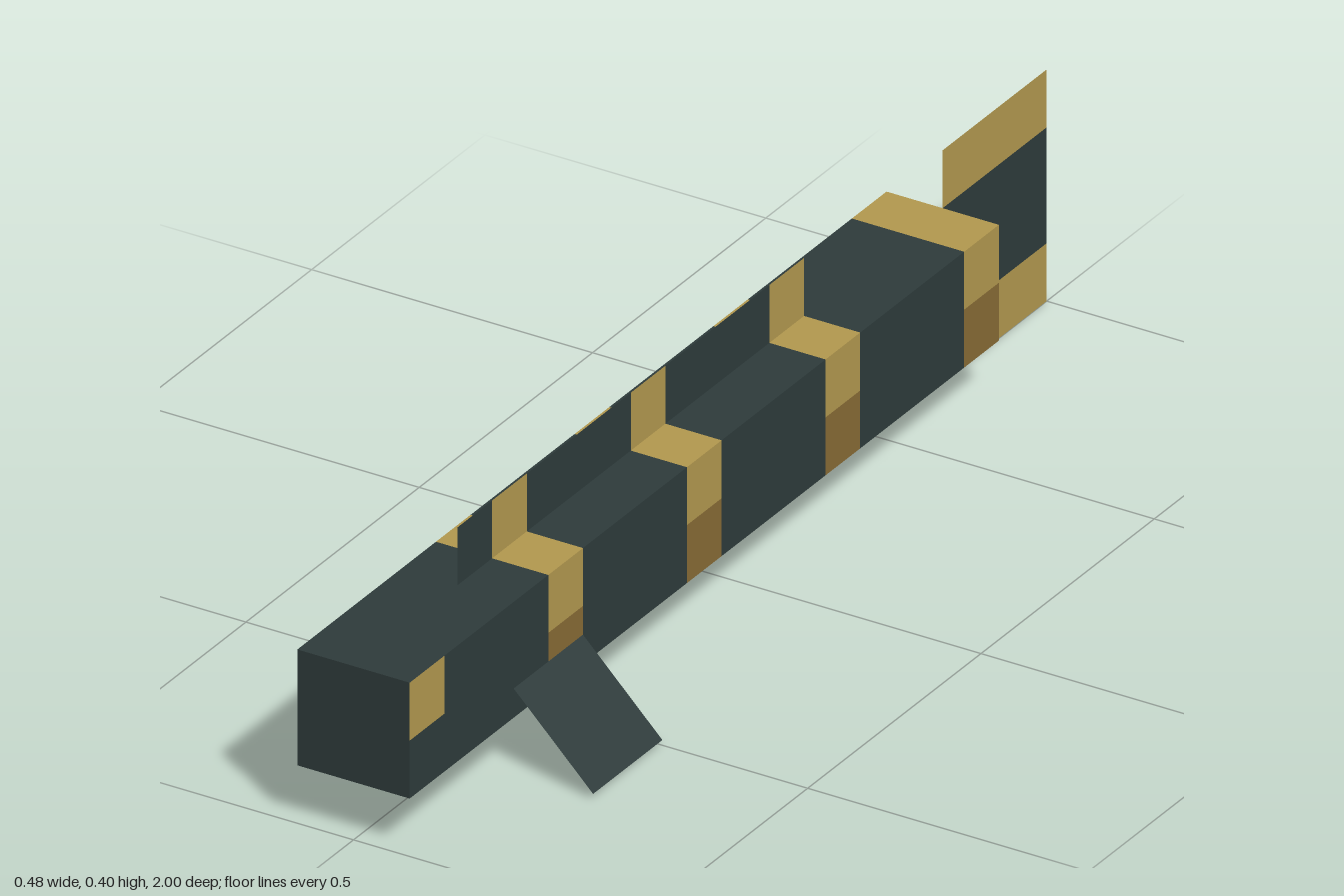
import * as THREE from 'three';

const makeMaterial = (name, color, side = THREE.FrontSide) => {
  const m = new THREE.MeshStandardMaterial({ color, side });
  m.name = name;
  return m;
};

export function createModel() {
  const model = new THREE.Group();
  model.name = 'stripedFish';
  const dark = makeMaterial('darkScales', 0x2e3b3b, THREE.DoubleSide);
  const gold = makeMaterial('goldStripe', 0xb3994f, THREE.DoubleSide);
  const brown = makeMaterial('brownStripe', 0x886b36, THREE.DoubleSide);

  // Flat rectangle placed and turned in the given parent
  const panel = (parent, name, mat, w, h, pos, rot = [0, 0, 0]) => {
    const mesh = new THREE.Mesh(new THREE.PlaneGeometry(w, h), mat);
    mesh.name = name;
    mesh.position.set(...pos);
    mesh.rotation.set(...rot);
    parent.add(mesh);
    return mesh;
  };
  const addGroup = (name) => {
    const g = new THREE.Group();
    g.name = name;
    model.add(g);
    return g;
  };
  const Q = Math.PI / 2;

  // Body shell: rings along z, each with top, bottom and two-tone sides
  const body = addGroup('body');
  const rings = [
    // z0, z1, top, upper side, lower side, bottom
    [0.9, 1.0, dark, gold, dark, dark], // eyes
    [0.6, 0.9, dark, dark, dark, dark],
    [0.5, 0.6, gold, gold, brown, brown],
    [0.2, 0.5, dark, dark, dark, dark],
    [0.1, 0.2, gold, gold, brown, brown],
    [-0.2, 0.1, dark, dark, dark, dark],
    [-0.3, -0.2, gold, gold, brown, brown],
    [-0.6, -0.3, dark, dark, dark, dark],
    [-0.7, -0.6, gold, gold, brown, brown],
  ];
  for (const [z0, z1, top, upper, lower, bottom] of rings) {
    const len = z1 - z0, z = (z0 + z1) / 2;
    panel(body, 'back', top, 0.2, len, [0, 0.3, z], [-Q, 0, 0]);
    panel(body, 'belly', bottom, 0.2, len, [0, 0.1, z], [Q, 0, 0]);
    for (const s of [1, -1]) {
      const upperName = z0 === 0.9 ? 'eye' : 'upperSide';
      panel(body, upperName, upper, len, 0.1, [s * 0.1, 0.25, z], [0, s * Q, 0]);
      panel(body, 'lowerSide', lower, len, 0.1, [s * 0.1, 0.15, z], [0, s * Q, 0]);
    }
  }
  // End faces
  panel(body, 'face', dark, 0.2, 0.2, [0, 0.2, 1]);
  panel(body, 'rumpUpper', gold, 0.2, 0.1, [0, 0.25, -0.7], [0, Math.PI, 0]);
  panel(body, 'rumpLower', brown, 0.2, 0.1, [0, 0.15, -0.7], [0, Math.PI, 0]);

  // Striped fin along the back
  const dorsal = addGroup('dorsalFin');
  const finBands = [
    [0.6, 0.7, dark], [0.5, 0.6, gold], [0.2, 0.5, dark],
    [0.1, 0.2, gold], [-0.2, 0.1, dark], [-0.3, -0.2, gold],
  ];
  for (const [z0, z1, mat] of finBands) {
    panel(dorsal, 'dorsalBand', mat, z1 - z0, 0.1, [0, 0.35, (z0 + z1) / 2], [0, Q, 0]);
  }

  // Tail with gold upper and lower edges
  const tail = addGroup('tailFin');
  panel(tail, 'tailTop', gold, 0.3, 0.1, [0, 0.35, -0.85], [0, Q, 0]);
  panel(tail, 'tailMiddle', dark, 0.3, 0.2, [0, 0.2, -0.85], [0, Q, 0]);
  panel(tail, 'tailBottom', gold, 0.3, 0.1, [0, 0.05, -0.85], [0, Q, 0]);

  // Side fins sloping down and out at 45 degrees
  for (const s of [1, -1]) {
    const fin = addGroup(s > 0 ? 'leftFin' : 'rightFin');
    fin.position.set(s * 0.1, 0.1505, 0.6);
    fin.rotation.z = -s * Math.PI / 4;
    panel(fin, 'finBlade', dark, 0.2, 0.2, [s * 0.1, 0, 0], [-Q, 0, 0]);
  }

  return model;
}
